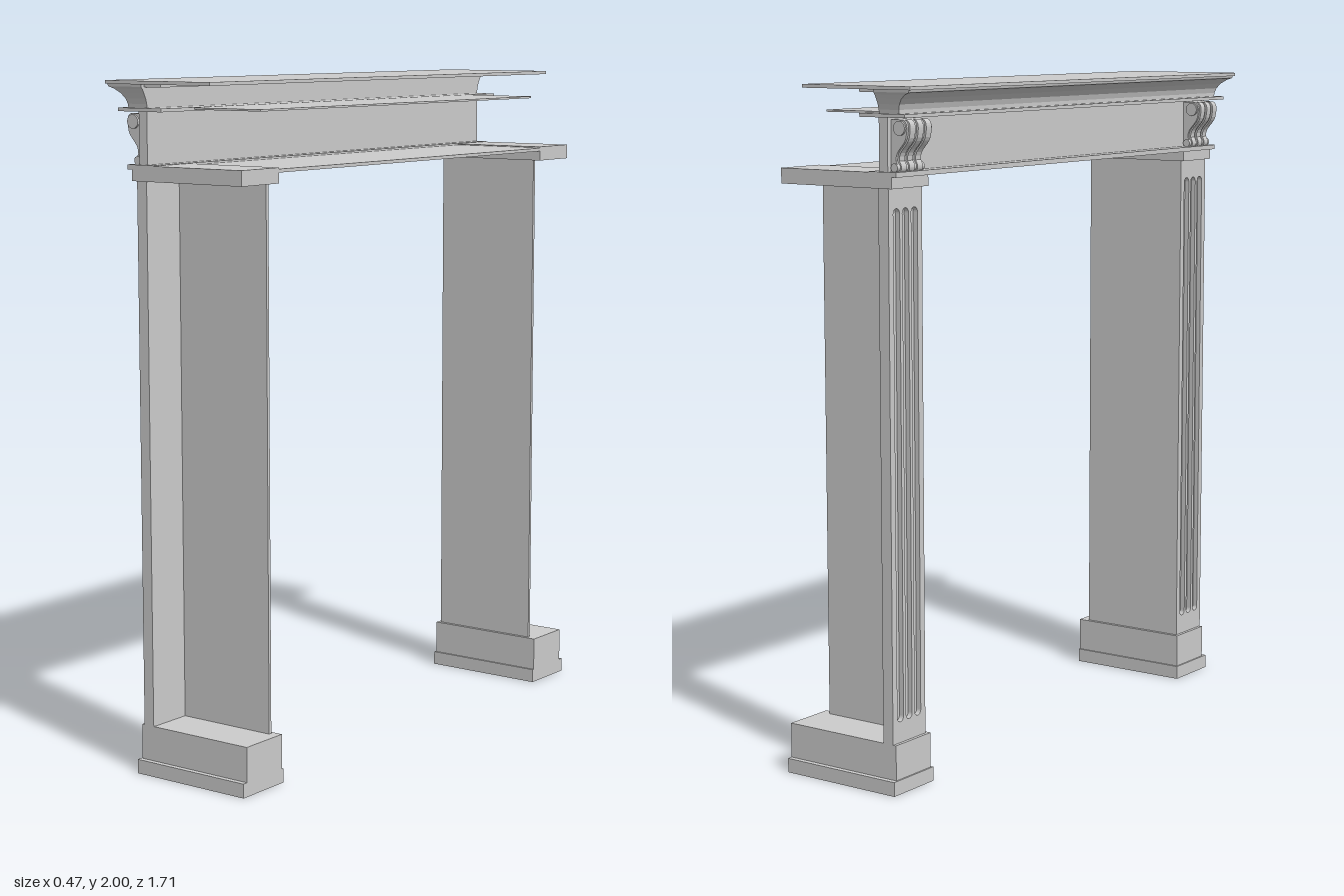
import * as THREE from 'three';

const mat = new THREE.MeshStandardMaterial({ color: 0xcccccc, flatShading: true });

export function createModel() {
  const root = new THREE.Group();

  const add = (name, geo, parent = root) => {
    const m = new THREE.Mesh(geo, mat);
    m.name = name;
    parent.add(m);
    return m;
  };
  // Box given by its limits on each axis
  const box = (name, x0, x1, y0, y1, z0, z1, parent) => add(name,
    new THREE.BoxGeometry(x1 - x0, y1 - y0, z1 - z0)
      .translate((x0 + x1) / 2, (y0 + y1) / 2, (z0 + z1) / 2), parent);
  // Profile in x,y swept along z
  const sweep = (name, shape, z0, z1, parent) => add(name,
    new THREE.ExtrudeGeometry(shape, { depth: z1 - z0, bevelEnabled: false, curveSegments: 8 })
      .translate(0, 0, z0), parent);

  // Pilaster face in z,y with three round-ended flutes
  function flutedFace() {
    const s = new THREE.Shape();
    s.moveTo(0.685, 0.145).lineTo(0.835, 0.145).lineTo(0.835, 1.72).lineTo(0.685, 1.72).closePath();
    const r = 0.014, low = 0.22, high = 1.65;
    for (const c of [0.72, 0.76, 0.8]) {
      const h = new THREE.Path();
      h.moveTo(c - r, low);
      h.absarc(c, low, r, Math.PI, Math.PI * 2, false);
      h.absarc(c, high, r, 0, Math.PI, false);
      h.closePath();
      s.holes.push(h);
    }
    return new THREE.ExtrudeGeometry(s, { depth: 0.015, bevelEnabled: false, curveSegments: 6 })
      .rotateY(-Math.PI / 2).translate(-0.13, 0, 0);
  }

  // Scrolled bracket profile
  function bracketShape(out) {
    const s = new THREE.Shape();
    s.moveTo(-0.13, 1.762);
    s.lineTo(-0.157 - out, 1.762);
    s.quadraticCurveTo(-0.172 - out, 1.775, -0.157 - out, 1.795);
    s.bezierCurveTo(-0.155 - out, 1.83, -0.192 - out, 1.835, -0.194 - out, 1.87);
    s.quadraticCurveTo(-0.2 - out, 1.905, -0.18 - out, 1.908);
    s.lineTo(-0.13, 1.908);
    s.closePath();
    return s;
  }

  // One leg on the +z side: plinth, fluted pilaster, jamb, cap and bracket
  function makeLeg() {
    const g = new THREE.Group();
    box('plinthFoot', -0.16, 0.235, 0, 0.042, 0.668, 0.85, g);
    box('plinthBlock', -0.155, 0.235, 0.042, 0.145, 0.674, 0.834, g);
    add('flutedFace', flutedFace(), g);
    box('pilasterBack', -0.13, -0.11, 0.145, 1.72, 0.685, 0.835, g);
    box('jamb', -0.11, 0.205, 0.145, 1.72, 0.685, 0.695, g);
    box('cap', -0.16, 0.235, 1.72, 1.764, 0.675, 0.84, g);
    sweep('bracket', bracketShape(0), 0.705, 0.815, g);
    for (const z of [0.712, 0.748, 0.784]) sweep('bracketRib', bracketShape(0.006), z, z + 0.024, g);
    // Scroll eyes on both bracket sides
    for (const [x, y, r] of [[-0.172, 1.885, 0.02], [-0.155, 1.777, 0.012]]) {
      add('bracketScroll', new THREE.CylinderGeometry(r, r, 0.122, 16)
        .rotateX(Math.PI / 2).translate(x, y, 0.76), g);
    }
    return g;
  }
  const leftLeg = makeLeg();
  leftLeg.name = 'leftLeg';
  const rightLeg = makeLeg();
  rightLeg.name = 'rightLeg';
  rightLeg.scale.z = -1;
  root.add(leftLeg, rightLeg);

  // Lintel: soffit board, its front moulding and the frieze
  box('soffit', -0.08, 0.235, 1.75, 1.76, -0.695, 0.695);
  box('soffitMoulding', -0.176, -0.08, 1.752, 1.766, -0.84, 0.84);
  box('frieze', -0.14, -0.11, 1.76, 1.915, -0.83, 0.83);

  // Shelf, narrower over the legs
  box('shelfFront', -0.208, -0.05, 1.914, 1.924, -0.84, 0.84);
  box('shelfBoard', -0.05, 0.187, 1.917, 1.923, -0.695, 0.695);

  // Crown moulding with mitred returns: rectangular rings of [front x, half length, y]
  const rings = [[-0.18, 0.828, 1.924], [-0.18, 0.83, 1.935], [-0.185, 0.834, 1.95],
    [-0.197, 0.841, 1.965], [-0.215, 0.848, 1.977], [-0.232, 0.853, 1.983], [-0.234, 0.854, 1.99]];
  const pos = [], idx = [];
  for (const [x, h, y] of rings) pos.push(x, y, -h, x, y, h, -0.11, y, h, -0.11, y, -h);
  for (let i = 0; i < rings.length - 1; i++) {
    for (let k = 0; k < 4; k++) {
      const a = i * 4 + k, b = i * 4 + (k + 1) % 4;
      idx.push(a, b, b + 4, a, b + 4, a + 4);
    }
  }
  const crown = new THREE.BufferGeometry();
  crown.setAttribute('position', new THREE.Float32BufferAttribute(pos, 3));
  crown.setIndex(idx);
  crown.computeVertexNormals();
  add('crownMoulding', crown);
  box('crownFillet', -0.11, -0.05, 1.982, 1.99, -0.84, 0.84);
  box('topBoard', -0.24, 0.14, 1.99, 2, -0.857, 0.857);

  return root;
}
